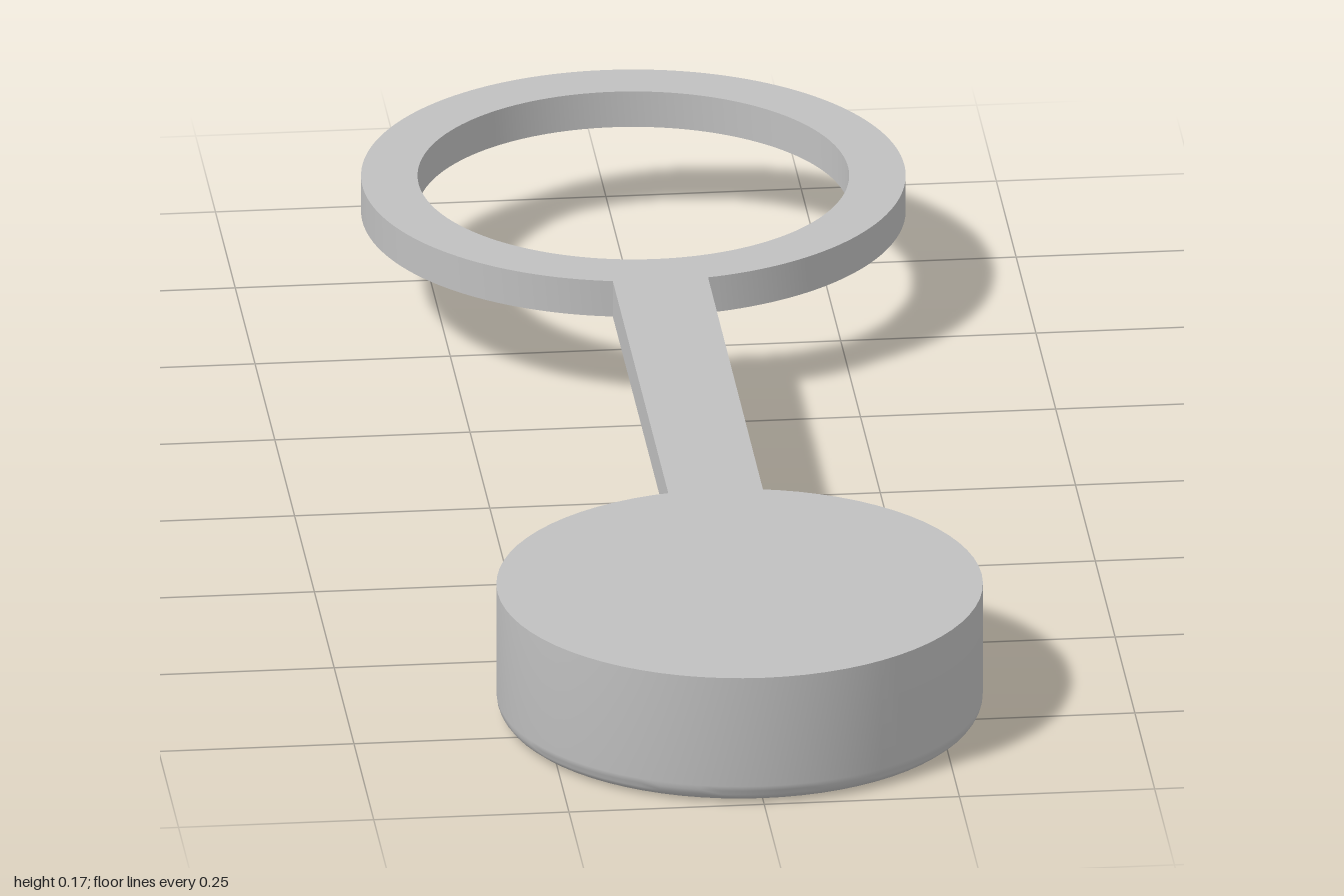
import * as THREE from 'three';
import { toCreasedNormals } from 'three/addons/utils/BufferGeometryUtils.js';

const TOP = 0.175, THICK = 0.049;
const CAP_Z = 0.69, CAP_R = 0.31, FILLET = 0.025;
const RING_Z = -0.653, RING_R = 0.347, HOLE_R = 0.275;
const STRAP = 0.061; // half width

export function createModel() {
  const group = new THREE.Group();
  const grey = new THREE.MeshStandardMaterial({ color: 0xc0c0c0 });
  grey.name = 'grey plastic';

  const add = (name, geometry) => {
    const mesh = new THREE.Mesh(toCreasedNormals(geometry, 0.6), grey);
    mesh.name = name;
    group.add(mesh);
    return mesh;
  };

  // Solid plug with a rounded bottom edge
  const profile = [new THREE.Vector2(0, 0)];
  for (let i = 0; i <= 6; i++) {
    const a = (i / 6) * Math.PI / 2;
    profile.push(new THREE.Vector2(
      CAP_R - FILLET + FILLET * Math.sin(a), FILLET - FILLET * Math.cos(a)));
  }
  profile.push(new THREE.Vector2(CAP_R, TOP), new THREE.Vector2(0, TOP));
  add('plug', new THREE.LatheGeometry(profile, 72)).position.z = CAP_Z;

  // Retaining ring and strap as one flat outline, its end curved to meet the plug
  const a = Math.asin(STRAP / RING_R), b = Math.asin(STRAP / CAP_R);
  const outline = new THREE.Shape();
  outline.absarc(0, RING_Z, RING_R, Math.PI / 2 + a, Math.PI * 2.5 - a, false);
  outline.absarc(0, CAP_Z, CAP_R - 0.002, -Math.PI / 2 + b, -Math.PI / 2 - b, true);
  outline.closePath();
  const hole = new THREE.Path();
  hole.absarc(0, RING_Z, HOLE_R, 0, Math.PI * 2, true);
  outline.holes.push(hole);
  const flat = new THREE.ExtrudeGeometry(outline, {
    depth: THICK, bevelEnabled: false, curveSegments: 72,
  });
  flat.rotateX(Math.PI / 2);
  add('ringAndStrap', flat).position.y = TOP;

  return group;
}
